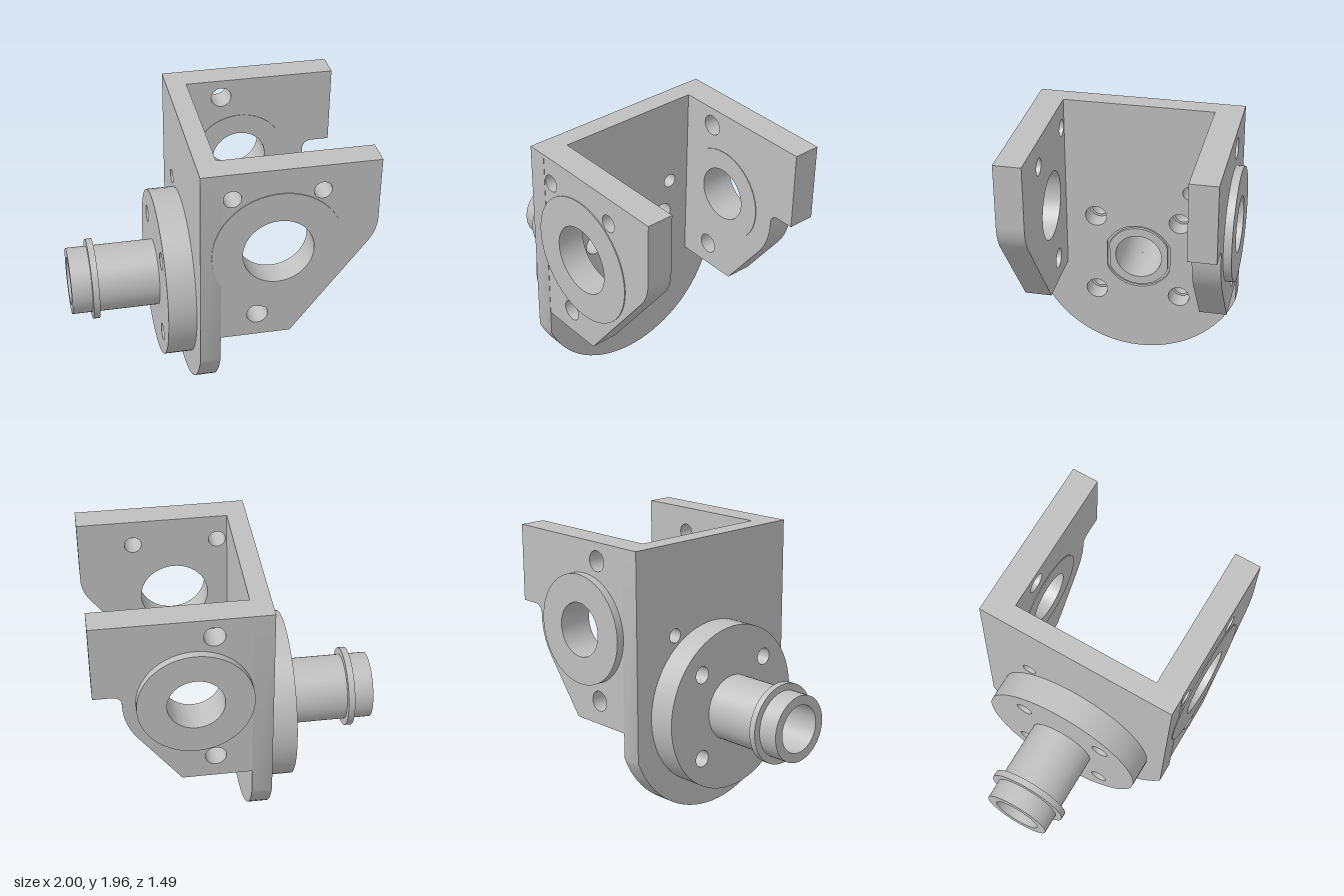
import * as THREE from 'three';
import { toCreasedNormals } from 'three/addons/utils/BufferGeometryUtils.js';

const CY = 0.768, CU = -0.025;      // shaft axis (u = -z)
const BX = 0.332, BY = 1.337;       // pivot bore axis in the arms

const hole = (shape, x, y, r) => {
  shape.holes.push(new THREE.Path().absarc(x, y, r, 0, Math.PI * 2, true));
  return shape;
};
const disc = (x, y, r) => new THREE.Shape().absarc(x, y, r, 0, Math.PI * 2, false);

export function createModel() {
  const group = new THREE.Group();
  const steel = new THREE.MeshStandardMaterial({ color: 0xbfbfbf });
  steel.name = 'grey metal';

  const add = (name, geometry) => {
    const mesh = new THREE.Mesh(toCreasedNormals(geometry, 0.5), steel);
    mesh.name = name;
    group.add(mesh);
  };
  const extrude = (shape, depth, segments) =>
    new THREE.ExtrudeGeometry(shape, { depth, bevelEnabled: false, curveSegments: segments });
  // Extrude along z, or along x for shapes drawn in (u = -z, y)
  const alongZ = (name, shape, z0, z1) =>
    add(name, extrude(shape, z1 - z0, 32).translate(0, 0, z0));
  const alongX = (name, shape, x0, x1, segments = 32) =>
    add(name, extrude(shape, x1 - x0, segments).rotateY(Math.PI / 2).translate(x0, 0, 0));

  // Round outline with two flat sides
  const flatted = (r, half, path) => {
    const b = Math.acos(half / r);
    path.absarc(CU, CY, r, b, Math.PI - b, false);
    path.absarc(CU, CY, r, Math.PI + b, Math.PI * 2 - b, false);
    path.closePath();
    return path;
  };
  const boltHoles = (shape, r) => {
    for (const u of [-0.335, 0.273]) for (const y of [0.463, 1.07]) hole(shape, u, y, r);
    return shape;
  };

  // Web plate with rounded bottom
  const a = Math.acos(0.715 / 0.768);
  const web = new THREE.Shape();
  web.moveTo(0.69, 1.96);
  web.lineTo(-0.74, 1.96);
  web.absarc(CU, CY, 0.768, Math.PI + a, Math.PI * 2 - a, false);
  web.closePath();
  boltHoles(web, 0.077);
  hole(web, 0.34, 1.32, 0.05);
  web.holes.push(flatted(0.25, 0.23, new THREE.Path()));
  alongX('webPlate', web, -0.19, -0.05, 16);

  // Front arm with a rounded outer corner
  const tilt = 0.64;
  const front = new THREE.Shape();
  front.moveTo(-0.05, 1.96);
  front.lineTo(-0.05, 0.67);
  front.lineTo(0.43, 0.67);
  front.absarc(0.7, 1.52, 0.3, -tilt, 0, false);
  front.lineTo(1, 1.96);
  front.closePath();
  hole(front, BX, BY, 0.24);
  hole(front, 0.02, 1.775, 0.06);
  hole(front, 0.615, 1.775, 0.06);
  hole(front, 0.2, 0.84, 0.072);
  alongZ('frontArm', front, 0.55, 0.738);
  alongZ('frontArmPad', hole(disc(BX, BY, 0.447), BX, BY, 0.24), 0.738, 0.745);

  // Back arm, cut back around the pivot bore
  const back = new THREE.Shape();
  back.moveTo(-0.05, 1.96);
  back.lineTo(-0.05, 0.67);
  back.lineTo(0.43, 0.67);
  back.absarc(BX, BY, 0.478, -tilt, 0, false);
  back.absarc(0.87, 1.35, 0.06, Math.PI, Math.PI / 2, true);
  back.lineTo(1, 1.41);
  back.lineTo(1, 1.96);
  back.closePath();
  hole(back, BX, BY, 0.192);
  hole(back, 0.2, 0.84, 0.072);
  hole(back, 0.2, 1.83, 0.072);
  alongZ('backArm', back, -0.69, -0.5);
  alongZ('backArmBoss', hole(disc(BX, BY, 0.39), BX, BY, 0.192), -0.745, -0.69);
  alongZ('backArmPad', hole(disc(BX, BY, 0.337), BX, BY, 0.192), -0.5, -0.495);

  // Shaft flange and the flat-sided spigot that fits through the web
  const flange = boltHoles(hole(disc(CU, CY, 0.59), CU, CY, 0.168), 0.06);
  alongX('shaftFlange', flange, -0.385, -0.19);
  alongX('spigot', hole(flatted(0.25, 0.23, new THREE.Shape()), CU, CY, 0.168), -0.19, -0.072);
  alongX('spigotLip', hole(flatted(0.23, 0.212, new THREE.Shape()), CU, CY, 0.168), -0.072, -0.05);

  // Hollow shaft with collar
  const profile = [
    [0.168, -0.385], [0.168, -1], [0.235, -1], [0.235, -0.858], [0.284, -0.858],
    [0.284, -0.812], [0.235, -0.812], [0.235, -0.385],
  ].map(([r, x]) => new THREE.Vector2(r, x));
  add('hollowShaft', new THREE.LatheGeometry(profile, 48)
    .rotateZ(-Math.PI / 2).translate(0, CY, 0.025));

  return group;
}
